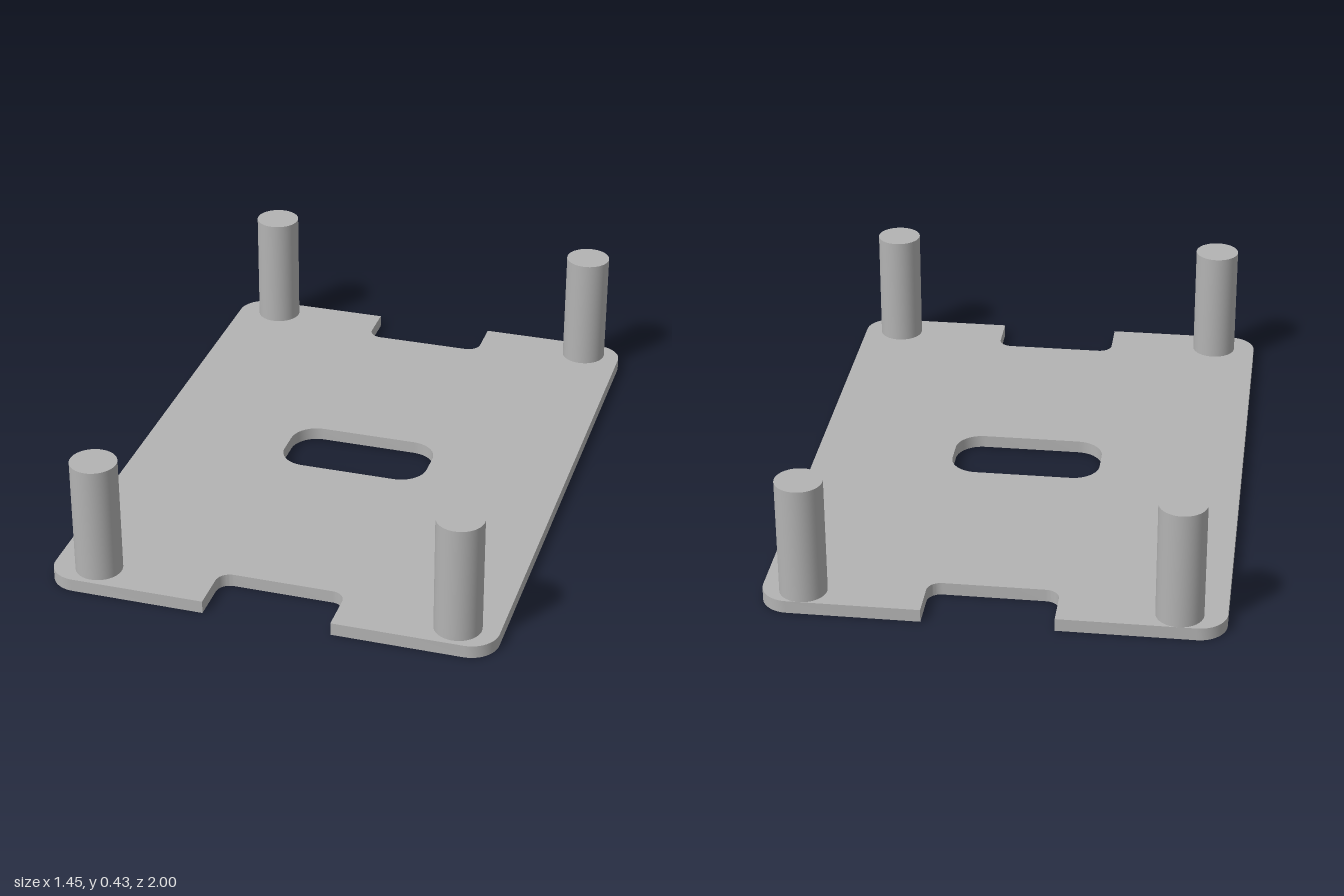
import * as THREE from 'three';
import { toCreasedNormals } from 'three/addons/utils/BufferGeometryUtils.js';

const THICKNESS = 0.042;
const POST_TOP = 0.43;
const POST_RADIUS = 0.075;

// Trace a closed right-angled outline of [x, z, cornerRadius] corners.
function traceOutline(path, corners) {
  const n = corners.length;
  const points = corners.map(([x, z]) => new THREE.Vector2(x, -z));
  corners.forEach(([, , r], i) => {
    const p = points[i];
    const toward = (q) => p.clone().add(q.clone().sub(p).setLength(r));
    const start = r ? toward(points[(i + n - 1) % n]) : p;
    if (i === 0) path.moveTo(start.x, start.y);
    else path.lineTo(start.x, start.y);
    if (!r) return;
    // Circular fillet, approximated by one cubic
    const end = toward(points[(i + 1) % n]);
    const c1 = start.clone().lerp(p, 0.5523);
    const c2 = end.clone().lerp(p, 0.5523);
    path.bezierCurveTo(c1.x, c1.y, c2.x, c2.y, end.x, end.y);
  });
  path.closePath();
  return path;
}

export function createModel() {
  const group = new THREE.Group();
  group.name = 'standoffPlate';
  const grey = new THREE.MeshStandardMaterial({ color: 0xb3b3b3 });
  grey.name = 'grey';

  // Base plate with a notch in each short edge and a central slot
  const outline = traceOutline(new THREE.Shape(), [
    [-0.723, 1, 0.09], [-0.2, 1, 0], [-0.2, 0.83, 0.045], [0.214, 0.83, 0.045],
    [0.214, 1, 0], [0.723, 1, 0.09], [0.723, -1, 0.09], [0.214, -1, 0],
    [0.214, -0.837, 0.045], [-0.2, -0.837, 0.045], [-0.2, -1, 0], [-0.723, -1, 0.09],
  ]);
  outline.holes.push(traceOutline(new THREE.Path(), [
    [-0.244, -0.128, 0.09], [0.258, -0.128, 0.09],
    [0.258, 0.127, 0.09], [-0.244, 0.127, 0.09],
  ]));
  const plateGeometry = new THREE.ExtrudeGeometry(outline, {
    depth: THICKNESS, bevelEnabled: false, curveSegments: 12,
  });
  plateGeometry.rotateX(-Math.PI / 2);
  const plate = new THREE.Mesh(toCreasedNormals(plateGeometry, 0.5), grey);
  plate.name = 'basePlate';
  group.add(plate);

  // Four corner posts standing on the plate
  const height = POST_TOP - THICKNESS;
  const postGeometry = new THREE.CylinderGeometry(POST_RADIUS, POST_RADIUS, height, 48);
  for (const [side, x] of [['Right', -0.576], ['Left', 0.592]]) {
    for (const [end, z] of [['front', 0.908], ['back', -0.925]]) {
      const post = new THREE.Mesh(postGeometry, grey);
      post.name = `${end}${side}Post`;
      post.position.set(x, THICKNESS + height / 2, z);
      group.add(post);
    }
  }
  return group;
}
